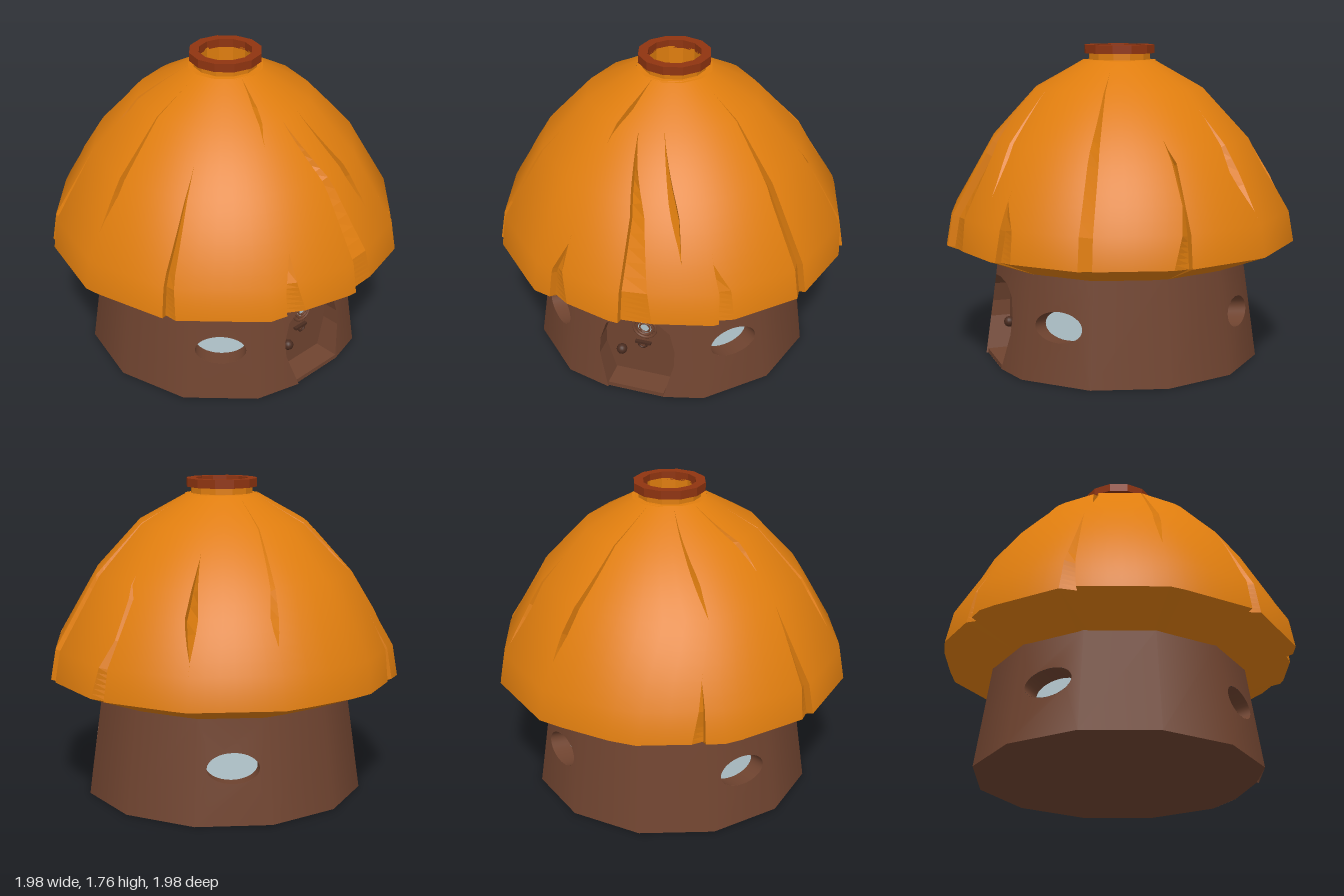
import * as THREE from 'three';

const mat = (name, color, side = THREE.FrontSide) => {
  const m = new THREE.MeshStandardMaterial({ color, side });
  m.name = name;
  return m;
};
const RAD = Math.PI / 180, T15 = Math.tan(15 * RAD), C15 = Math.cos(15 * RAD), S15 = Math.sin(15 * RAD);
const WALL_TOP = 0.57, SLOPE = 0.143;
const wallR = y => 0.795 - SLOPE * y;
const { lerp } = THREE.MathUtils;

// Linear lookup in rows [y, ...values] listed from high y to low y
function sample(rows, y, k) {
  if (y >= rows[0][0]) return rows[0][k];
  for (let i = 1; i < rows.length; i++) {
    const a = rows[i - 1], b = rows[i];
    if (y >= b[0]) return lerp(a[k], b[k], (a[0] - y) / (a[0] - b[0]));
  }
  return rows[rows.length - 1][k];
}

function triGeometry(pos, nor) {
  const g = new THREE.BufferGeometry();
  g.setAttribute('position', new THREE.Float32BufferAttribute(pos, 3));
  if (nor) g.setAttribute('normal', new THREE.Float32BufferAttribute(nor, 3));
  else g.computeVertexNormals();
  return g;
}

// Roof profile: y, radius, tilt of the smooth normal above the horizon
const PROFILE = [[1.675, 0.2, 62], [1.52, 0.48, 54], [1.245, 0.735, 40], [0.845, 0.97, 21], [0.675, 1, 9]];

// Splits in the thatch: y, angle of the steep side, signed width of the sloping side (degrees)
const SPLITS = [
  [[1.67, -163, 0], [1.4, -156, 3], [1.25, -152, 0], [0.98, -157, 0], [0.675, -157, -4]],
  [[1.67, -129, 0], [1.5, -122, 4], [1.4, -119, 0], [1.22, -120, 0], [0.675, -118, -5]],
  [[1.63, -90, 0], [1.2, -91.5, 3], [1, -91, 0]],
  [[1.36, -58, 0], [0.9, -62, 3], [0.675, -62, 4]],
  [[1.67, -16, 0], [1.57, -20, 4], [1.46, -21, 0], [0.98, -21, 0], [0.83, -24, 4], [0.675, -24, 6.5]],
  [[1.51, -4, 0], [1.21, 1.4, 5], [0.675, 1.2, 10]],
  [[1.51, 12.5, 0], [1.2, 20, -3.5], [1, 20.5, 0]],
  [[0.98, 31, 0], [0.84, 32, 4], [0.675, 31.5, 5]],
  [[1.61, 62, 0], [1.2, 63, -4], [0.675, 63, -4]],
  [[1.26, 90, 0], [1.2, 93.4, -2], [0.98, 93, -1], [0.675, 92.5, -5.5]],
  [[1.39, 119.5, 0], [1.1, 117, 5], [0.91, 120.5, 0]],
  [[1.675, 156, 0], [1.1, 148, 3], [0.98, 149, 0]],
];

function roofRow(y) {
  const knots = SPLITS.map(s => {
    const a = sample(s, y, 1), w = sample(s, y, 2);
    const e = 0.15 * Math.min(1, Math.abs(w)), d = 0.04 * Math.min(1, Math.abs(w) / 3);
    return w >= 0 ? [[a - e, 0], [a, d], [a + w, 0]] : [[a + w, 0], [a, d], [a + e, 0]];
  });
  const cols = [];
  knots.forEach((k, i) => {
    cols.push(...k);
    const from = k[2][0];
    const to = i + 1 < knots.length ? knots[i + 1][0][0] : knots[0][0][0] + 360;
    for (let j = 1; j < 6; j++) cols.push([lerp(from, to, j / 6), 0]);
  });
  cols.push([knots[0][0][0] + 360, 0]);
  return cols;
}

// Point on the twelve-sided roof, pushed in by depth d
function roofPoint(phi, d, y, radius, tilt) {
  const f = (((phi % 30) + 30) % 30) - 15;
  const r = radius * C15 / Math.cos(f * RAD) - d * Math.cos(tilt * RAD);
  return {
    p: [r * Math.sin(phi * RAD), y - d * Math.sin(tilt * RAD), r * Math.cos(phi * RAD)],
    n: [Math.cos(tilt * RAD) * Math.sin(phi * RAD), Math.sin(tilt * RAD), Math.cos(tilt * RAD) * Math.cos(phi * RAD)],
  };
}

function buildRoof(group, material) {
  const ys = [];
  for (let i = 0; i + 1 < PROFILE.length; i++)
    for (let j = 0; j < 6; j++) ys.push(lerp(PROFILE[i][0], PROFILE[i + 1][0], j / 6));
  ys.push(0.675);
  const rows = ys.map(y => roofRow(y).map(([phi, d]) =>
    roofPoint(phi, d, y, sample(PROFILE, y, 1), sample(PROFILE, y, 2))));
  const inner = roofRow(0.675).map(([phi]) => roofPoint(phi, 0, 0.56, 0.705, 0));
  const smooth = { p: [], n: [] }, split = { p: [], n: [] }, under = { p: [], n: [] };
  const strip = (top, bottom, pick) => {
    for (let j = 0; j + 1 < top.length; j++) {
      const out = pick(j);
      for (const v of [top[j], bottom[j], bottom[j + 1], top[j], bottom[j + 1], top[j + 1]]) {
        out.p.push(...v.p);
        out.n.push(...v.n);
      }
    }
  };
  for (let i = 0; i + 1 < rows.length; i++) strip(rows[i], rows[i + 1], j => (j % 8 < 2 ? split : smooth));
  strip(rows[rows.length - 1], inner, () => under);
  add(group, 'thatchedRoof', triGeometry(smooth.p, smooth.n), material);
  add(group, 'roofSplits', triGeometry(split.p), material);
  add(group, 'roofUnderside', triGeometry(under.p), material);
}

function add(group, name, geometry, material, x = 0, y = 0, z = 0) {
  const m = new THREE.Mesh(geometry, material);
  m.name = name;
  m.position.set(x, y, z);
  group.add(m);
  return m;
}

const toShape = pts => new THREE.Shape(pts.map(p => new THREE.Vector2(...p)));

// Lift a flat wall shape onto its facet, with rounded normals
function wallFacet(shape, depthAt, angle) {
  const g = new THREE.ShapeGeometry(shape, 16);
  const p = g.attributes.position, n = g.attributes.normal;
  for (let i = 0; i < p.count; i++) p.setZ(i, depthAt(p.getX(i), p.getY(i)));
  g.rotateY(angle);
  const v = new THREE.Vector3();
  for (let i = 0; i < p.count; i++) {
    v.set(p.getX(i), 0, p.getZ(i)).normalize().setY(SLOPE).normalize();
    n.setXYZ(i, v.x, v.y, v.z);
  }
  return g;
}

const flatLathe = pts => {
  const g = new THREE.LatheGeometry(pts.map(p => new THREE.Vector2(...p)), 12).toNonIndexed();
  g.computeVertexNormals();
  return g;
};

export function createModel() {
  const model = new THREE.Group();
  model.name = 'mushroomHouse';
  const brown = mat('wallBrown', 0x704430, THREE.DoubleSide);
  const orange = mat('thatchOrange', 0xdf7d0e);
  const rust = mat('rimRust', 0x8f3410);
  const glass = mat('windowGlass', 0xb2c5cc, THREE.DoubleSide);
  const dark = mat('fittingBrown', 0x4a2c20);

  buildRoof(model, orange);

  // Chimney
  add(model, 'chimneyNeck', flatLathe([[0.21, 1.672], [0.175, 1.675], [0.175, 1.715]]), orange, 0.01);
  add(model, 'chimneyLining', flatLathe([[0.147, 1.72], [0.147, 1.5], [0, 1.5]]), orange, 0.01);
  add(model, 'chimneyRim', flatLathe([[0.147, 1.71], [0.2, 1.71], [0.2, 1.757], [0.147, 1.757], [0.147, 1.71]]), rust, 0.01);

  // Walls: ten facets, four of them with an oval window
  const facetZ = (x, y) => wallR(y) * C15;
  const b = wallR(0) * S15, t = wallR(WALL_TOP) * S15;
  for (let i = 1; i < 11; i++) {
    const angle = (15 + 30 * i) * RAD;
    const shape = toShape([[-b, 0], [b, 0], [t, WALL_TOP], [-t, WALL_TOP]]);
    if (i % 3 === 1) {
      shape.holes.push(new THREE.Path().absellipse(0, 0.302, 0.14, 0.082, 0, Math.PI * 2, true));
      const win = new THREE.Group();
      win.name = 'window';
      win.rotation.y = angle;
      const pane = new THREE.Group();
      pane.position.set(0, 0.302, facetZ(0, 0.302));
      pane.rotation.x = -SLOPE * C15;
      win.add(pane);
      const tube = new THREE.CylinderGeometry(1, 1, 0.115, 32, 1, true).rotateX(Math.PI / 2).scale(0.14, 0.082, 1);
      add(pane, 'windowReveal', tube, brown, 0, 0, -0.0575);
      add(pane, 'windowPane', new THREE.CircleGeometry(1, 32).scale(0.14, 0.082, 1), glass, 0, 0, -0.112);
      model.add(win);
    }
    add(model, 'wall', wallFacet(shape, facetZ, angle), brown);
  }

  // Front walls around the doorway
  const doorLeft = [[0.18, 0], [0.23, 0.2], [0.23, 0.29], [0.2, 0.4], [0.13, 0.465], [0.05, 0.49], [0, 0.493]];
  const doorRight = [[-0.14, 0], [-0.2, 0.2], [-0.2, 0.29], [-0.165, 0.4], [-0.09, 0.47], [0, 0.493]];
  const frontZ = (x, y) => wallR(y) - Math.abs(x) * T15;
  [[doorLeft, 1], [doorRight, -1]].forEach(([outline, s]) => {
    const shape = toShape([...outline, [0, WALL_TOP], [s * wallR(WALL_TOP) / 2, WALL_TOP], [s * wallR(0) / 2, 0]]);
    add(model, 'frontWall', wallFacet(shape, frontZ, 0), brown);
  });

  // Doorway reveal, door and sill
  const DOOR_Z = 0.6;
  const arch = [...doorLeft, ...doorRight.slice(0, -1).reverse()];
  const reveal = [];
  for (let i = 0; i + 1 < arch.length; i++) {
    const [p, q] = [arch[i], arch[i + 1]];
    const pf = [...p, frontZ(...p)], qf = [...q, frontZ(...q)], pb = [...p, DOOR_Z], qb = [...q, DOOR_Z];
    reveal.push(...pf, ...qf, ...qb, ...pf, ...qb, ...pb);
  }
  add(model, 'doorwayReveal', triGeometry(reveal), brown);
  add(model, 'door', new THREE.ShapeGeometry(toShape(arch)), brown, 0, 0, DOOR_Z);
  add(model, 'doorSill', new THREE.BoxGeometry(0.325, 0.024, 0.145), brown, 0.02, 0.0125, 0.672);

  // Door fittings: knob, round peephole with rings, knocker
  add(model, 'doorKnob', new THREE.SphereGeometry(0.03, 16, 12), dark, -0.1, 0.185, DOOR_Z + 0.03);
  add(model, 'peepholePane', new THREE.CircleGeometry(0.05, 24), glass, 0.03, 0.35, DOOR_Z + 0.004);
  [[0.065, 0.008], [0.046, 0.007], [0.029, 0.005]].forEach(([r, w]) =>
    add(model, 'peepholeRing', new THREE.TorusGeometry(r, w, 8, 24), brown, 0.03, 0.35, DOOR_Z + 0.008));
  for (let i = 0; i < 4; i++) {
    const bar = new THREE.BoxGeometry(0.035, 0.005, 0.008).translate(0.042, 0, 0).rotateZ(i * Math.PI / 2 + 0.78);
    add(model, 'peepholeBar', bar, brown, 0.03, 0.35, DOOR_Z + 0.008);
  }
  add(model, 'knockerPlate', new THREE.BoxGeometry(0.09, 0.014, 0.02), dark, 0.02, 0.245, DOOR_Z + 0.01);
  add(model, 'knockerRing', new THREE.TorusGeometry(0.024, 0.006, 8, 20, Math.PI).rotateZ(Math.PI), dark, 0.02, 0.242, DOOR_Z + 0.018);

  // Floor, cut back at the doorway
  const floor = [[-0.14, -0.745], [0.18, -0.745]];
  for (let i = 1; i < 12; i++) {
    const a = i * 30 * RAD;
    floor.push([wallR(0) * Math.sin(a), -wallR(0) * Math.cos(a)]);
  }
  add(model, 'floor', new THREE.ShapeGeometry(toShape(floor)).rotateX(Math.PI / 2).scale(1, 1, -1), brown);
  const floorMesh = model.getObjectByName('floor');
  floorMesh.geometry = new THREE.ShapeGeometry(toShape(floor.map(([x, z]) => [x, -z]))).rotateX(Math.PI / 2);
  return model;
}
